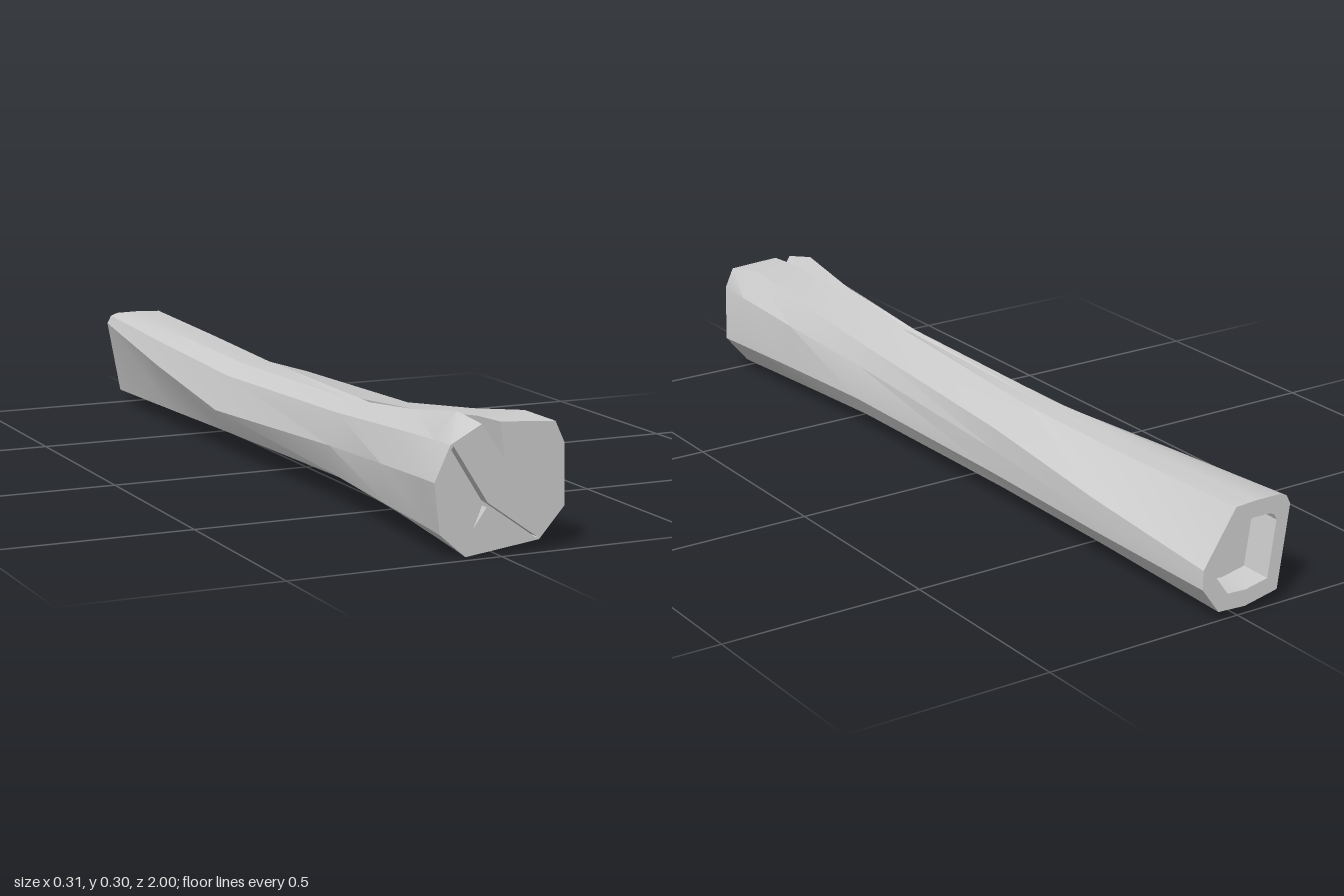
import * as THREE from 'three';
import { toCreasedNormals } from 'three/addons/utils/BufferGeometryUtils.js';

const material = new THREE.MeshStandardMaterial({ color: 0xcccccc });

// slightly slanted saw cuts at the two ends
const frontZ = (x, y) => 0.976 + 0.06 * y + 0.04 * x;
const backZ = (x, y) => -1 + 0.07 * (y - 0.02);

// Each outline runs counterclockwise: bottom right, right, upper right, top right,
// crack right lip, crack floor, crack left lip, upper left, left, lower left, bottom
const backOutline = [[0.053, 0.022], [0.095, 0.082], [0.094, 0.104], [0.092, 0.126], [0, 0.25], [-0.06, 0.253],
  [-0.122, 0.252], [-0.14, 0.245], [-0.15, 0.225], [-0.11, 0.035], [-0.02, 0.018]];
const frontOutline = [[0.1, 0.025], [0.157, 0.095], [0.15, 0.235], [0.126, 0.284], [-0.004, 0.292], [0.01, 0.21],
  [-0.047, 0.29], [-0.118, 0.25], [-0.152, 0.17], [-0.135, 0.055], [-0.073, 0.001]];
const sections = [
  [-0.6, [[0.06, 0.035], [0.1, 0.085], [0.1, 0.12], [0.097, 0.16], [0, 0.24], [-0.05, 0.243],
    [-0.09, 0.243], [-0.135, 0.225], [-0.156, 0.17], [-0.117, 0.048], [-0.03, 0.032]]],
  [-0.2, [[0.07, 0.045], [0.1, 0.09], [0.1, 0.15], [0.093, 0.2], [-0.01, 0.232], [-0.05, 0.232],
    [-0.08, 0.232], [-0.125, 0.205], [-0.157, 0.12], [-0.12, 0.06], [-0.04, 0.045]]],
  [0.4, [[0.08, 0.045], [0.11, 0.095], [0.1, 0.18], [0.075, 0.225], [-0.045, 0.243], [-0.06, 0.238],
    [-0.07, 0.243], [-0.105, 0.215], [-0.125, 0.14], [-0.11, 0.07], [-0.05, 0.04]]],
  [0.7, [[0.09, 0.035], [0.132, 0.095], [0.125, 0.205], [0.09, 0.262], [-0.032, 0.265], [-0.028, 0.23],
    [-0.06, 0.272], [-0.113, 0.235], [-0.14, 0.157], [-0.123, 0.062], [-0.06, 0.02]]],
  [0.91, [[0.097, 0.027], [0.15, 0.095], [0.145, 0.228], [0.1, 0.294], [-0.016, 0.291], [-0.003, 0.215],
    [-0.064, 0.305], [-0.117, 0.247], [-0.148, 0.167], [-0.131, 0.057], [-0.07, 0.006]]],
];

// thin branching crack in the front face
const crack = [[0.096, 0.0305], [-0.026, 0.117], [-0.111, 0.247], [-0.116, 0.239],
  [-0.037, 0.117], [-0.058, 0.061], [-0.028, 0.107], [0.094, 0.0285]];
// hollow in the back face
const hollow = backOutline.map(([x, y]) => [-0.028 + (x + 0.028) * 0.68, 0.135 + (y - 0.135) * 0.68]);

const ring = (points, zAt) => points.map(([x, y]) => [x, y, zAt(x, y)]);

// skin over successive rings: faces outward when z rises, inward when z falls
function loft(rings) {
  const n = rings[0].length;
  const index = [];
  for (let k = 0; k < rings.length - 1; k++) {
    for (let i = 0; i < n; i++) {
      const j = (i + 1) % n;
      const a = k * n + i, b = k * n + j, c = b + n, d = a + n;
      index.push(a, b, c, a, c, d);
    }
  }
  const geometry = new THREE.BufferGeometry();
  geometry.setAttribute('position', new THREE.Float32BufferAttribute(rings.flat(2), 3));
  geometry.setIndex(index);
  return toCreasedNormals(geometry, 0.45);
}

// flat face following a slanted cut, with an optional opening
function face(points, zAt, hole, facesBack) {
  const toVectors = (list) => list.map(([x, y]) => new THREE.Vector2(x, y));
  const shape = new THREE.Shape(toVectors(points));
  if (hole) shape.holes.push(new THREE.Path(toVectors(hole)));
  const geometry = new THREE.ShapeGeometry(shape);
  const p = geometry.attributes.position;
  for (let i = 0; i < p.count; i++) p.setZ(i, zAt(p.getX(i), p.getY(i)));
  if (facesBack) geometry.setIndex(Array.from(geometry.index.array).reverse());
  geometry.computeVertexNormals();
  return geometry;
}

export function createModel() {
  const log = new THREE.Group();
  log.name = 'log';
  const add = (name, geometry) => {
    const mesh = new THREE.Mesh(geometry, material);
    mesh.name = name;
    log.add(mesh);
  };

  // bark with the long split running back from the front end
  add('bark', loft([
    ring(backOutline, backZ),
    ...sections.map(([z, points]) => ring(points, () => z)),
    ring(frontOutline, frontZ),
  ]));

  // front cut and its crack
  const crackFloorZ = (x, y) => frontZ(x, y) - 0.03;
  add('frontCut', face(frontOutline, frontZ, crack));
  add('crackWalls', loft([ring(crack, frontZ), ring(crack, crackFloorZ)]));
  add('crackFloor', face(crack, crackFloorZ));

  // back cut and its hollow
  const hollowFloorZ = (x, y) => backZ(x, y) + 0.08;
  add('backCut', face(backOutline, backZ, hollow, true));
  add('hollowWalls', loft([ring(hollow, hollowFloorZ), ring(hollow, backZ)]));
  add('hollowFloor', face(hollow, hollowFloorZ, null, true));

  return log;
}
